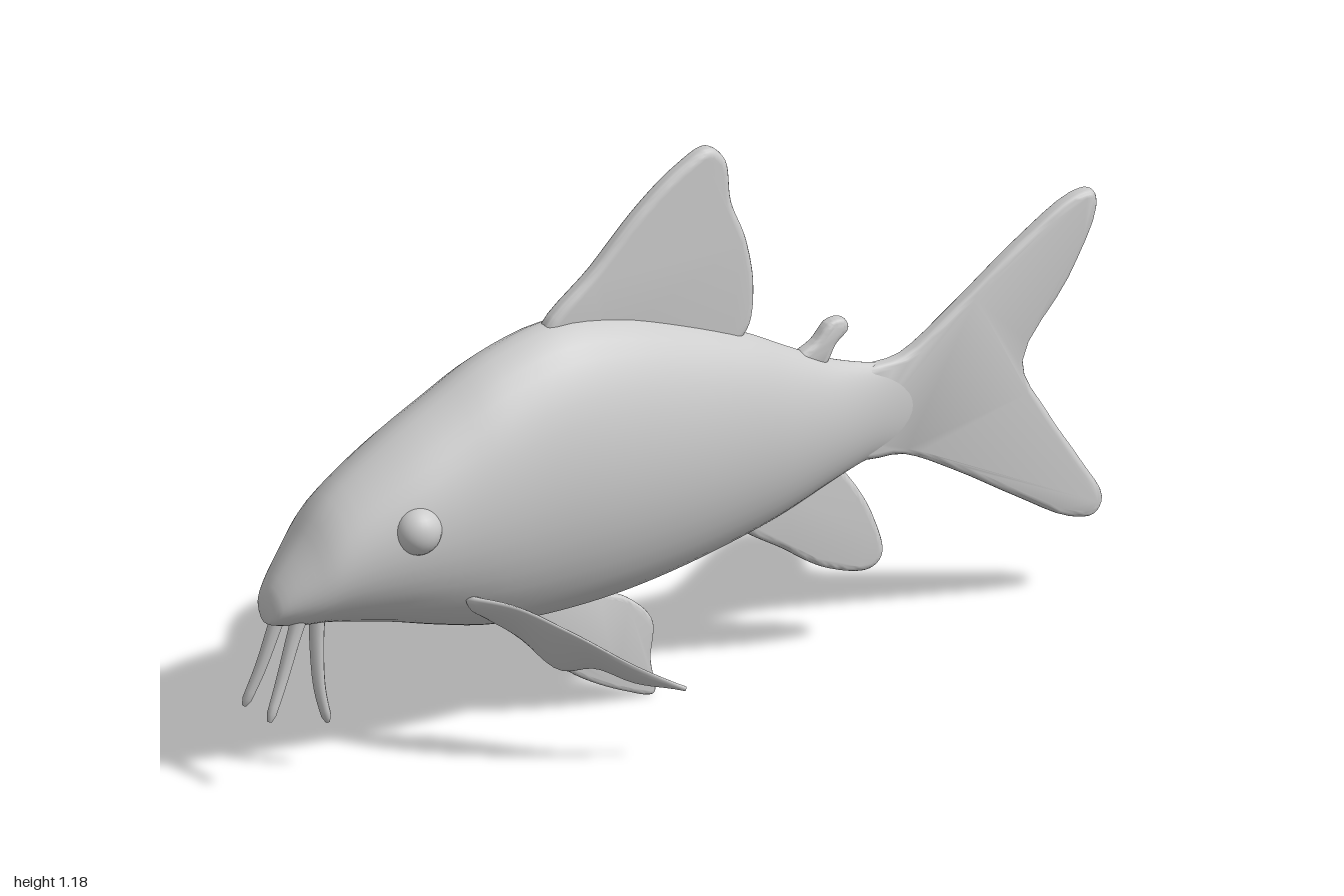
import * as THREE from 'three';
import { mergeVertices, toCreasedNormals } from 'three/addons/utils/BufferGeometryUtils.js';

const material = new THREE.MeshStandardMaterial({ color: 0xcccccc });
const V = (x, y, z = 0) => new THREE.Vector3(x, y, z);
const curve = (points, closed = false) =>
  new THREE.CatmullRomCurve3(points.map((p) => V(...p)), closed, 'centripetal');

// Smooth skin over sections { c: centre, u, v: half axes, u x v pointing along the path }
function loft(sections, sides, pinch = 1) {
  const pos = [], index = [];
  for (const { c, u, v } of sections) {
    for (let j = 0; j < sides; j++) {
      const a = (j / sides) * Math.PI * 2, s = Math.sin(a);
      const p = c.clone().addScaledVector(u, Math.cos(a))
        .addScaledVector(v, Math.sign(s) * Math.abs(s) ** pinch);
      pos.push(p.x, p.y, p.z);
    }
  }
  const n = sections.length, first = n * sides, last = first + 1;
  for (const { c } of [sections[0], sections[n - 1]]) pos.push(c.x, c.y, c.z);
  for (let j = 0; j < sides; j++) {
    const k = (j + 1) % sides;
    for (let i = 0; i < n - 1; i++) {
      const a = i * sides + j, b = i * sides + k;
      index.push(a, b, a + sides, b, b + sides, a + sides);
    }
    const e = (n - 1) * sides;
    index.push(first, k, j, last, e + j, e + k);
  }
  const g = new THREE.BufferGeometry();
  g.setAttribute('position', new THREE.Float32BufferAttribute(pos, 3));
  g.setIndex(index);
  g.computeVertexNormals();
  return g;
}

// Flat fin in the middle plane with rounded rims
function flatFin(outline, halfThickness) {
  const shape = new THREE.Shape(
    curve(outline, true).getPoints(72).slice(0, -1).map((p) => new THREE.Vector2(p.x, p.y)));
  const bevel = halfThickness * 0.8;
  const depth = 2 * (halfThickness - bevel);
  const g = new THREE.ExtrudeGeometry(shape, {
    depth, bevelThickness: bevel, bevelSize: bevel, bevelOffset: -bevel, bevelSegments: 4,
  });
  g.translate(0, 0, -depth / 2);
  g.deleteAttribute('uv');
  g.deleteAttribute('normal');
  return toCreasedNormals(mergeVertices(g, 1e-4), 0.7);
}

function bodyGeometry() {
  // x, top, bottom, half width
  const rows = [
    [-0.975, 0.385, 0.352, 0.02], [-0.96, 0.43, 0.345, 0.05], [-0.9, 0.51, 0.335, 0.09],
    [-0.83, 0.60, 0.328, 0.118], [-0.7, 0.692, 0.30, 0.148], [-0.57, 0.767, 0.265, 0.162],
    [-0.45, 0.83, 0.24, 0.167], [-0.3, 0.87, 0.235, 0.165], [-0.15, 0.855, 0.245, 0.152],
    [0, 0.81, 0.27, 0.132], [0.15, 0.753, 0.306, 0.107], [0.25, 0.702, 0.337, 0.086],
    [0.35, 0.652, 0.375, 0.062], [0.45, 0.62, 0.408, 0.036], [0.53, 0.605, 0.418, 0.021],
    [0.62, 0.58, 0.44, 0.012],
  ];
  const heights = new THREE.CatmullRomCurve3(rows.map((r) => V(r[0], r[1], r[2])), false, 'catmullrom');
  const widths = new THREE.CatmullRomCurve3(rows.map((r) => V(r[0], r[3])), false, 'catmullrom');
  const sections = [];
  for (let i = 0; i <= 60; i++) {
    const { x, y: top, z: bottom } = heights.getPoint(i / 60);
    const w = widths.getPoint(i / 60).y;
    sections.push({ c: V(x, (top + bottom) / 2), u: V(0, (top - bottom) / 2), v: V(0, 0, w) });
  }
  return loft(sections, 40, 1.12);
}

// Swept paired fin between a leading and a trailing edge
function pectoralGeometry(side) {
  const edge = (pts) => curve(pts.map(([x, y, z]) => [x, y, z * side]));
  const lead = edge([[-0.57, 0.365, 0.12], [-0.5, 0.36, 0.215], [-0.42, 0.315, 0.28],
    [-0.31, 0.24, 0.33], [-0.19, 0.168, 0.357]]);
  const trail = edge([[-0.53, 0.32, 0.11], [-0.45, 0.255, 0.135], [-0.39, 0.19, 0.19],
    [-0.34, 0.205, 0.25], [-0.28, 0.18, 0.305], [-0.19, 0.163, 0.35]]);
  const sections = [], n = 24;
  for (let i = 0; i <= n; i++) {
    const t = i / n, a = lead.getPoint(t), b = trail.getPoint(t);
    const u = a.clone().sub(b).multiplyScalar(0.5);
    const along = lead.getTangent(t).add(trail.getTangent(t));
    const v = along.cross(u).normalize().multiplyScalar(0.014 - 0.009 * t);
    sections.push({ c: a.add(b).multiplyScalar(0.5), u, v });
  }
  return loft(sections, 16);
}

// Tapered whisker
function barbelGeometry(points) {
  const path = curve(points), sections = [], n = 16;
  for (let i = 0; i <= n; i++) {
    const t = i / n, tangent = path.getTangent(t);
    const r = (0.018 - 0.008 * t) * (i === n ? 0.5 : 1);
    const v = tangent.clone().cross(V(0, 0, 1)).normalize();
    const u = v.clone().cross(tangent).normalize();
    sections.push({ c: path.getPoint(t), u: u.multiplyScalar(r), v: v.multiplyScalar(r) });
  }
  return loft(sections, 10);
}

export function createModel() {
  const group = new THREE.Group();
  const add = (name, geometry) => {
    const mesh = new THREE.Mesh(geometry, material);
    mesh.name = name;
    group.add(mesh);
    return mesh;
  };

  add('body', bodyGeometry());

  // Fins along the middle
  add('dorsalFin', flatFin([[-0.32, 0.85], [-0.2, 0.97], [-0.09, 1.08], [0, 1.148], [0.07, 1.178],
    [0.108, 1.145], [0.122, 1.05], [0.157, 0.96], [0.175, 0.85], [0.16, 0.76], [0.1, 0.72],
    [-0.15, 0.78]], 0.021));
  add('tailFin', flatFin([[0.42, 0.6], [0.53, 0.622], [0.65, 0.7], [0.8, 0.81], [0.93, 0.888],
    [0.978, 0.89], [0.986, 0.85], [0.92, 0.71], [0.812, 0.55], [0.87, 0.425], [0.95, 0.3],
    [1, 0.21], [0.98, 0.175], [0.92, 0.182], [0.8, 0.25], [0.65, 0.342], [0.53, 0.403],
    [0.42, 0.42]], 0.019));
  add('analFin', flatFin([[0.14, 0.335], [0.25, 0.252], [0.35, 0.19], [0.45, 0.168], [0.48, 0.195],
    [0.46, 0.28], [0.41, 0.37], [0.36, 0.42], [0.24, 0.39]], 0.018));
  add('pelvicFin', flatFin([[-0.44, 0.27], [-0.35, 0.175], [-0.25, 0.085], [-0.13, 0.022],
    [-0.058, 0.003], [-0.066, 0.08], [-0.062, 0.165], [-0.12, 0.225], [-0.18, 0.25],
    [-0.3, 0.3]], 0.013));
  add('adiposeFin', flatFin([[0.27, 0.665], [0.32, 0.698], [0.355, 0.733], [0.39, 0.733],
    [0.4, 0.71], [0.37, 0.68], [0.345, 0.64], [0.29, 0.63]], 0.018));

  // Paired parts
  for (const [side, label] of [[1, 'Near'], [-1, 'Far']]) {
    add(`pectoralFin${label}`, pectoralGeometry(side));
    const eye = add(`eye${label}`, new THREE.SphereGeometry(1, 24, 16));
    eye.scale.set(0.05, 0.05, 0.045);
    eye.position.set(-0.69, 0.54, side * 0.131);
    add(`frontBarbel${label}`, barbelGeometry([[-0.91, 0.375, side * 0.035], [-0.93, 0.32, side * 0.037],
      [-0.96, 0.235, side * 0.042], [-0.994, 0.155, side * 0.05]]));
  }
  add('chinBarbel', barbelGeometry([[-0.85, 0.37, 0], [-0.852, 0.28, 0], [-0.845, 0.18, 0],
    [-0.826, 0.102, 0]]));

  return group;
}
